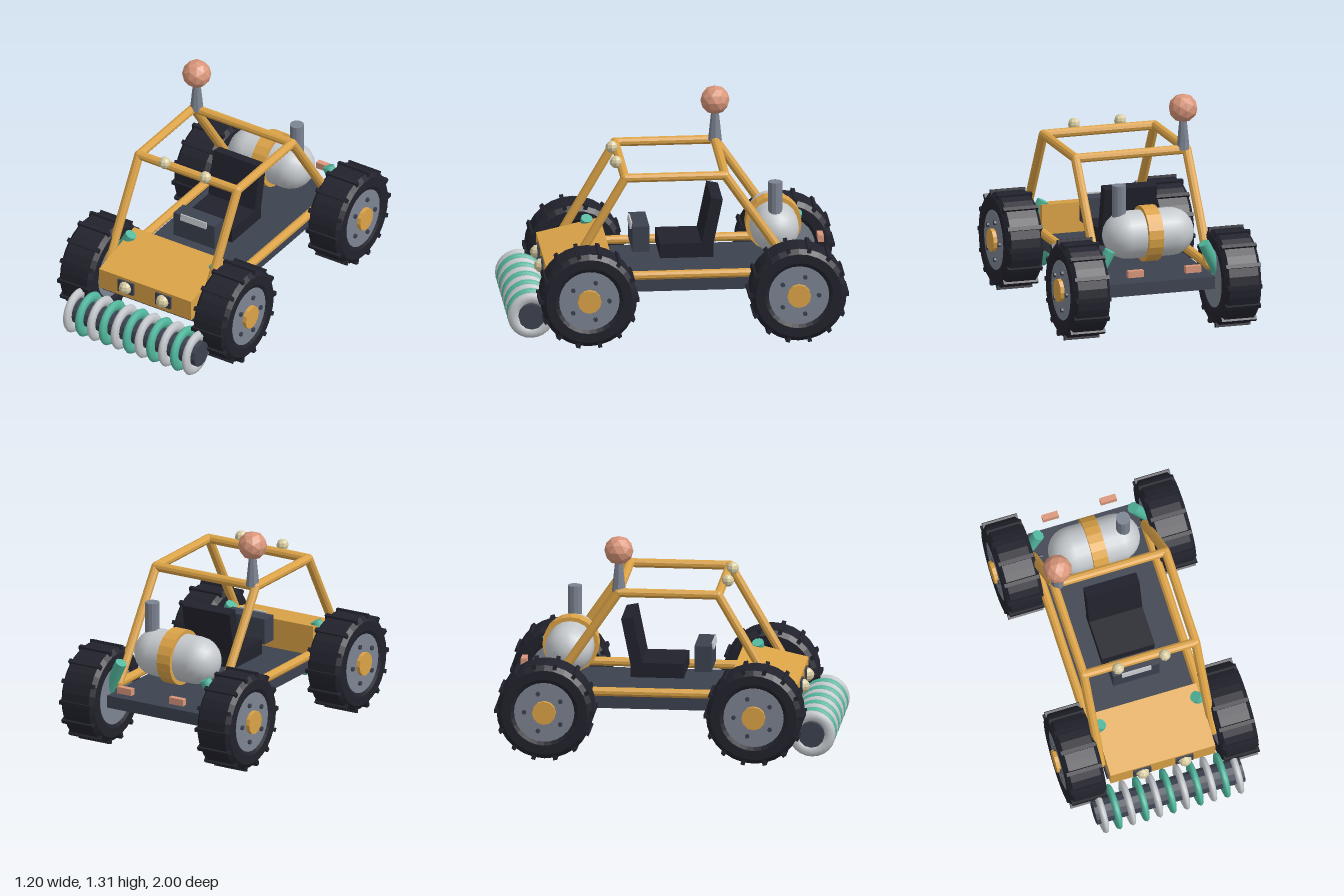
import * as THREE from 'three';

const paint = (name, color, flat = true) => {
  const m = new THREE.MeshStandardMaterial({ color, flatShading: flat });
  m.name = name;
  return m;
};

export function createModel() {
  const orange = paint('orange', 0xdca347);
  const rubber = paint('rubber black', 0x22222d);
  const slate = paint('dark slate', 0x3c4250);
  const steel = paint('blue grey steel', 0x7c8492);
  const silver = paint('light silver', 0xc6cace, false);
  const teal = paint('teal', 0x52b89f, false);
  const salmon = paint('salmon', 0xd9967a);
  const cream = paint('lamp cream', 0xd8cca2);

  const model = new THREE.Group();
  model.name = 'buggy';

  const add = (name, geo, mat, pos = [0, 0, 0], parent = model) => {
    const mesh = new THREE.Mesh(geo, mat);
    mesh.name = name;
    mesh.position.set(...pos);
    parent.add(mesh);
    return mesh;
  };
  const box = (name, size, mat, pos, parent) =>
    add(name, new THREE.BoxGeometry(...size), mat, pos, parent);
  // Cylinder between two points
  const rod = (name, a, b, r, mat, sides = 10, rTop = r, parent = model) => {
    const from = new THREE.Vector3(...a), to = new THREE.Vector3(...b);
    const dir = to.clone().sub(from);
    const mesh = add(name, new THREE.CylinderGeometry(rTop, r, dir.length(), sides), mat,
      from.clone().add(to).multiplyScalar(0.5).toArray(), parent);
    mesh.quaternion.setFromUnitVectors(new THREE.Vector3(0, 1, 0), dir.normalize());
    return mesh;
  };

  // Floor and wedge-shaped hood
  box('floor', [0.66, 0.075, 1.575], slate, [0, 0.303, -0.0675]);
  const side = new THREE.Shape([[-0.767, 0.307], [-0.39, 0.307], [-0.39, 0.52], [-0.767, 0.436]]
    .map(([x, y]) => new THREE.Vector2(x, y)));
  const hoodGeo = new THREE.ExtrudeGeometry(side, { depth: 0.644, bevelEnabled: false });
  hoodGeo.translate(0, 0, -0.322).rotateY(Math.PI / 2);
  add('hood', hoodGeo, orange);

  // Roll cage
  const cage = new THREE.Group();
  cage.name = 'rollCage';
  model.add(cage);
  const R = 0.0275, X = 0.344;
  for (const s of [-1, 1]) {
    const path = [[0.65, 0.37], [0.302, 0.973], [-0.288, 0.973], [-0.7, 0.37]]
      .map(([z, y]) => [s * X, y, z]);
    path.forEach((p, i) => {
      rod('cageTube', p, path[(i + 1) % 4], R, orange, 10, R, cage);
      add('cageJoint', new THREE.SphereGeometry(R, 10, 8), orange, p, cage);
    });
  }
  for (const z of [0.302, -0.288])
    rod('cageCrossbar', [-X, 0.973, z], [X, 0.973, z], R, orange, 10, R, cage);

  // Seat
  box('seatCushion', [0.325, 0.088, 0.315], rubber, [0, 0.457, -0.078]);
  box('seatBack', [0.325, 0.32, 0.07], rubber, [0, 0.614, -0.224]).rotation.x = -0.2;

  // Dashboard with a pale panel
  box('dashboard', [0.284, 0.155, 0.1], slate, [0, 0.527, 0.19]);
  box('dashPanel', [0.18, 0.04, 0.009], silver, [0, 0.594, 0.244]).rotation.x = -0.15;

  // Engine drum, band and exhaust
  const drum = new THREE.CapsuleGeometry(0.142, 0.27, 6, 20);
  drum.rotateZ(Math.PI / 2);
  add('engineDrum', drum, silver, [0, 0.57, -0.6]);
  const band = new THREE.CylinderGeometry(0.166, 0.166, 0.09, 20);
  band.rotateZ(Math.PI / 2);
  add('engineBand', band, orange, [0, 0.57, -0.6]);
  rod('exhaustPipe', [0.178, 0.62, -0.597], [0.178, 0.873, -0.597], 0.042, steel, 12);

  // Mast and ball
  rod('mast', [-0.322, 0.975, -0.287], [-0.322, 1.16, -0.287], 0.041, steel, 8, 0.022);
  add('mastBall', new THREE.IcosahedronGeometry(0.086, 1), salmon, [-0.322, 1.224, -0.287]);

  // Lamps
  for (const s of [-1, 1]) {
    box('headlampPlate', [0.108, 0.08, 0.02], slate, [s * 0.13, 0.38, 0.77]);
    add('headlamp', new THREE.SphereGeometry(0.041, 8, 6), cream, [s * 0.13, 0.38, 0.78]);
    add('roofLamp', new THREE.SphereGeometry(0.037, 8, 6), cream, [s * 0.143, 1.01, 0.338]);
    box('tailLamp', [0.097, 0.04, 0.034], salmon, [s * 0.178, 0.41, -0.895]);
  }

  // Wheel, built with its axle along +y, then laid outward
  const tyreProfile = [[0.172, -0.1], [0.2, -0.114], [0.255, -0.114], [0.283, -0.09],
    [0.283, 0.09], [0.255, 0.114], [0.2, 0.114], [0.172, 0.1]]
    .map(([r, y]) => new THREE.Vector2(r, y));
  const tyreGeo = new THREE.LatheGeometry(tyreProfile, 28);
  const lugGeo = new THREE.BoxGeometry(0.03, 0.215, 0.024);
  const discGeo = new THREE.CylinderGeometry(0.178, 0.178, 0.212, 28);
  const capGeo = new THREE.CylinderGeometry(0.07, 0.07, 0.06, 12);
  const boltGeo = new THREE.CylinderGeometry(0.014, 0.014, 0.03, 6);
  const makeWheel = (name, s, z) => {
    const wheel = new THREE.Group();
    wheel.name = name;
    wheel.position.set(s * 0.468, 0.295, z);
    wheel.rotation.z = -s * Math.PI / 2;
    model.add(wheel);
    add('tyre', tyreGeo, rubber, [0, 0, 0], wheel);
    add('rim', discGeo, steel, [0, 0, 0], wheel);
    add('hubCap', capGeo, orange, [0, 0.1, 0], wheel);
    for (let i = 0; i < 14; i++) {
      const a = Math.PI / 2 + i * Math.PI / 7;
      add('lug', lugGeo, rubber, [Math.cos(a) * 0.28, 0, Math.sin(a) * 0.28], wheel).rotation.y = -a;
    }
    for (let i = 0; i < 5; i++) {
      const a = -Math.PI / 2 + i * Math.PI * 0.4;
      add('bolt', boltGeo, slate, [Math.cos(a) * 0.118, 0.104, Math.sin(a) * 0.118], wheel);
    }
  };
  for (const [end, z] of [['front', 0.533], ['rear', -0.702]])
    for (const s of [-1, 1]) {
      makeWheel(end + (s > 0 ? 'LeftWheel' : 'RightWheel'), s, z);
      // Axle stub and leaning shock absorber
      rod('axleStub', [s * 0.28, 0.31, z], [s * 0.38, 0.3, z], 0.035, slate, 8);
      rod('shock', [s * 0.4, 0.31, z - 0.04], [s * 0.29, 0.525, z - 0.062], 0.035, teal, 10);
    }

  // Front roller with rings of alternating colour
  const roller = new THREE.Group();
  roller.name = 'frontRoller';
  roller.position.set(0, 0.167, 0.861);
  model.add(roller);
  rod('rollerCore', [-0.455, 0, 0], [0.455, 0, 0], 0.077, slate, 12, 0.077, roller);
  const ringGeo = new THREE.TorusGeometry(0.106, 0.034, 8, 24);
  ringGeo.scale(1, 1, 0.62).rotateY(Math.PI / 2);
  for (let i = 0; i < 11; i++)
    add('rollerRing', ringGeo, i % 2 ? teal : silver, [(i - 5) * 0.083, 0, 0], roller);

  return model;
}
